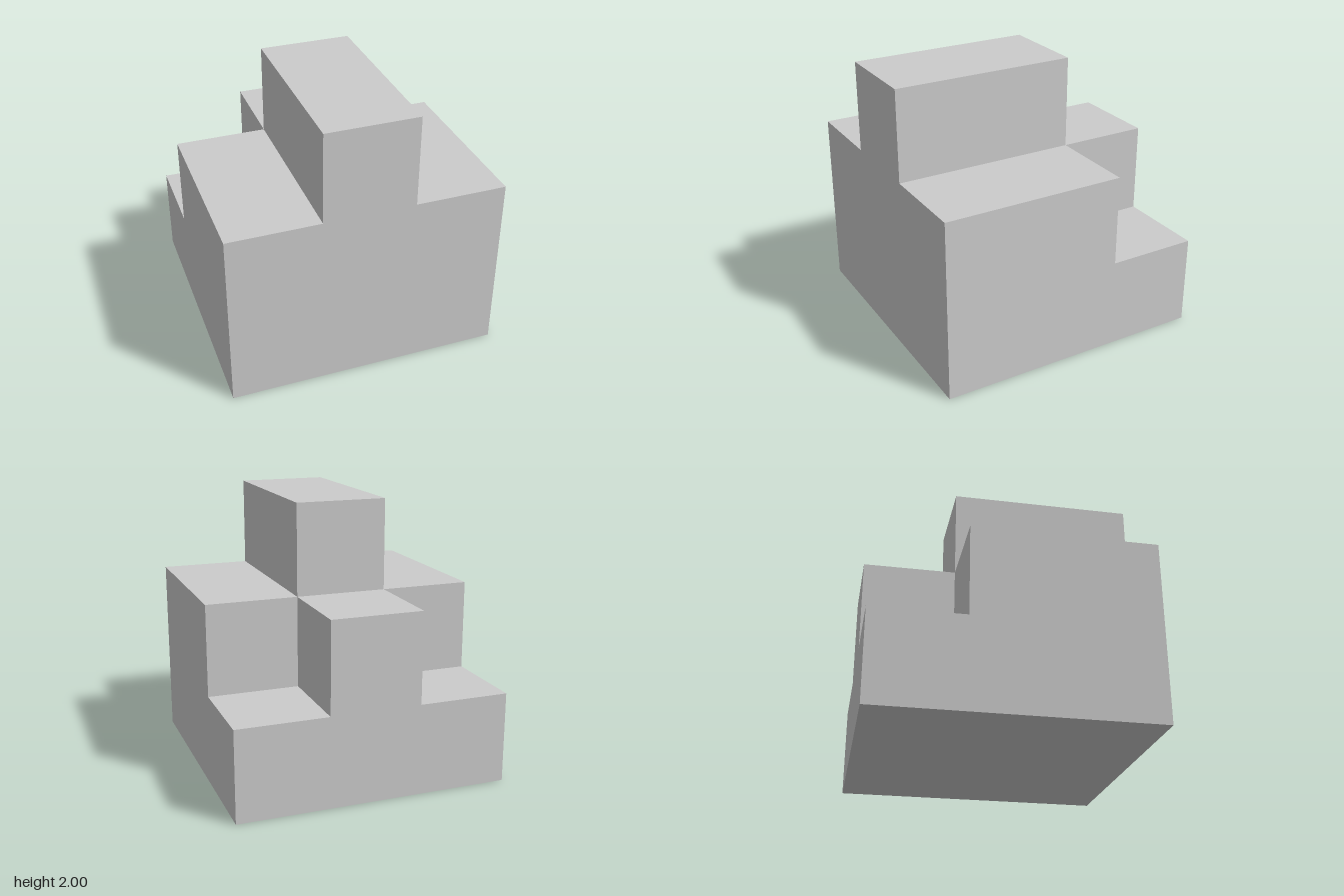
import * as THREE from 'three';
import { mergeGeometries } from 'three/addons/utils/BufferGeometryUtils.js';

const CELL = 2 / 3;
// Height of each column in cells: rows run from back to front, columns along x
const HEIGHTS = [
  [1, 2, 1],
  [2, 3, 2],
  [2, 3, 2],
];
const DIRECTIONS = [[1, 0, 0], [-1, 0, 0], [0, 1, 0], [0, -1, 0], [0, 0, 1], [0, 0, -1]];

const isSolid = (i, j, k) => j >= 0 && j < (HEIGHTS[k]?.[i] ?? 0);

// Square face of one cell, turned to look along the given direction
function cellFace(i, j, k, dir) {
  const normal = new THREE.Vector3(...dir);
  const face = new THREE.PlaneGeometry(CELL, CELL);
  if (dir[1]) face.rotateX(-dir[1] * Math.PI / 2);
  else face.rotateY(Math.atan2(dir[0], dir[2]));
  const centre = new THREE.Vector3(i - 1, j + 0.5, k - 1).addScaledVector(normal, 0.5).multiplyScalar(CELL);
  return face.translate(centre.x, centre.y, centre.z);
}

export function createModel() {
  const group = new THREE.Group();
  group.name = 'steppedBlock';

  // One closed solid made only of the exposed cell faces
  const faces = [];
  HEIGHTS.forEach((row, k) => row.forEach((height, i) => {
    for (let j = 0; j < height; j++) {
      for (const dir of DIRECTIONS) {
        if (!isSolid(i + dir[0], j + dir[1], k + dir[2])) faces.push(cellFace(i, j, k, dir));
      }
    }
  }));

  const body = new THREE.Mesh(
    mergeGeometries(faces),
    new THREE.MeshStandardMaterial({ color: 0xcccccc, flatShading: true })
  );
  body.name = 'steppedBody';
  group.add(body);
  return group;
}
